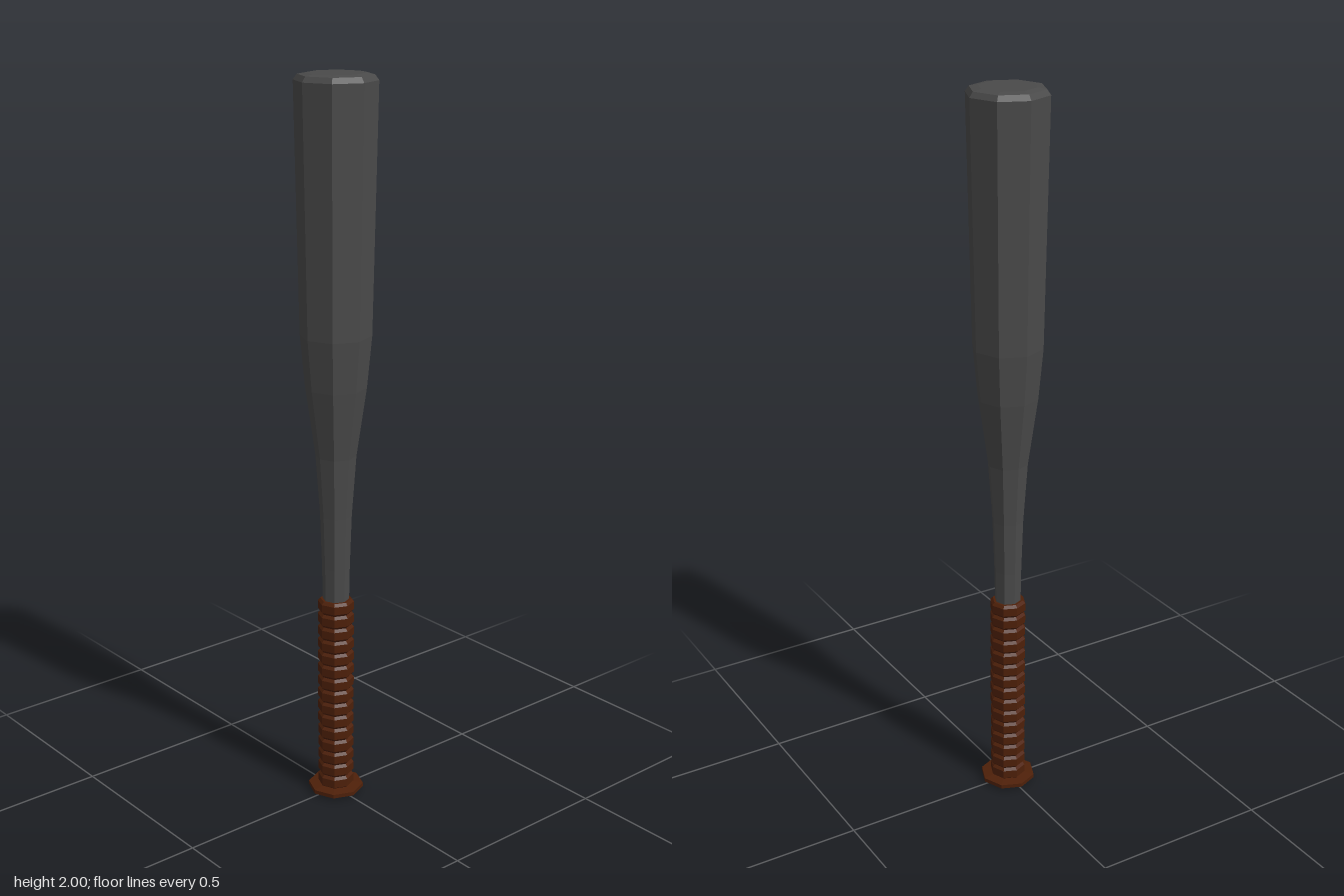
import * as THREE from 'three';

const SIDES = 8;

export function createModel() {
  const model = new THREE.Group();
  model.name = 'bat';

  const makeMaterial = (name, color) => {
    const m = new THREE.MeshStandardMaterial({ color, flatShading: true });
    m.name = name;
    return m;
  };
  const charcoal = makeMaterial('charcoal', 0x4a4a4a);
  const leather = makeMaterial('brown leather', 0x4e2009);

  // Eight-sided turned part from [radius, height] pairs, listed bottom to top
  const turned = (name, profile, material) => {
    const points = profile.map(([r, y]) => new THREE.Vector2(r, y));
    const mesh = new THREE.Mesh(new THREE.LatheGeometry(points, SIDES), material);
    mesh.name = name;
    model.add(mesh);
  };

  // Barrel: thin neck swelling to a bevelled, slightly domed tip
  turned('barrel', [
    [0.036, 0.56], [0.038, 0.68], [0.043, 0.83], [0.055, 1.0],
    [0.082, 1.19], [0.095, 1.33], [0.108, 1.982], [0.098, 1.996],
    [0.075, 2.0], [0, 2.0],
  ], charcoal);

  // Grip: stacked wraps with a narrow groove between each
  const wraps = 15, bottom = 0.018, top = 0.587;
  const step = (top - bottom) / wraps;
  const grip = [];
  for (let i = 0; i < wraps; i++) {
    const y = bottom + i * step;
    grip.push([0.043, y], [0.05, y + step * 0.2], [0.05, y + step * 0.8]);
  }
  grip.push([0.043, top], [0, top]);
  turned('gripWrap', grip, leather);

  // Knob: flared disc closing the handle
  turned('knob', [
    [0, 0], [0.05, 0], [0.077, 0.008], [0.077, 0.019], [0.046, 0.023],
  ], leather);

  return model;
}
